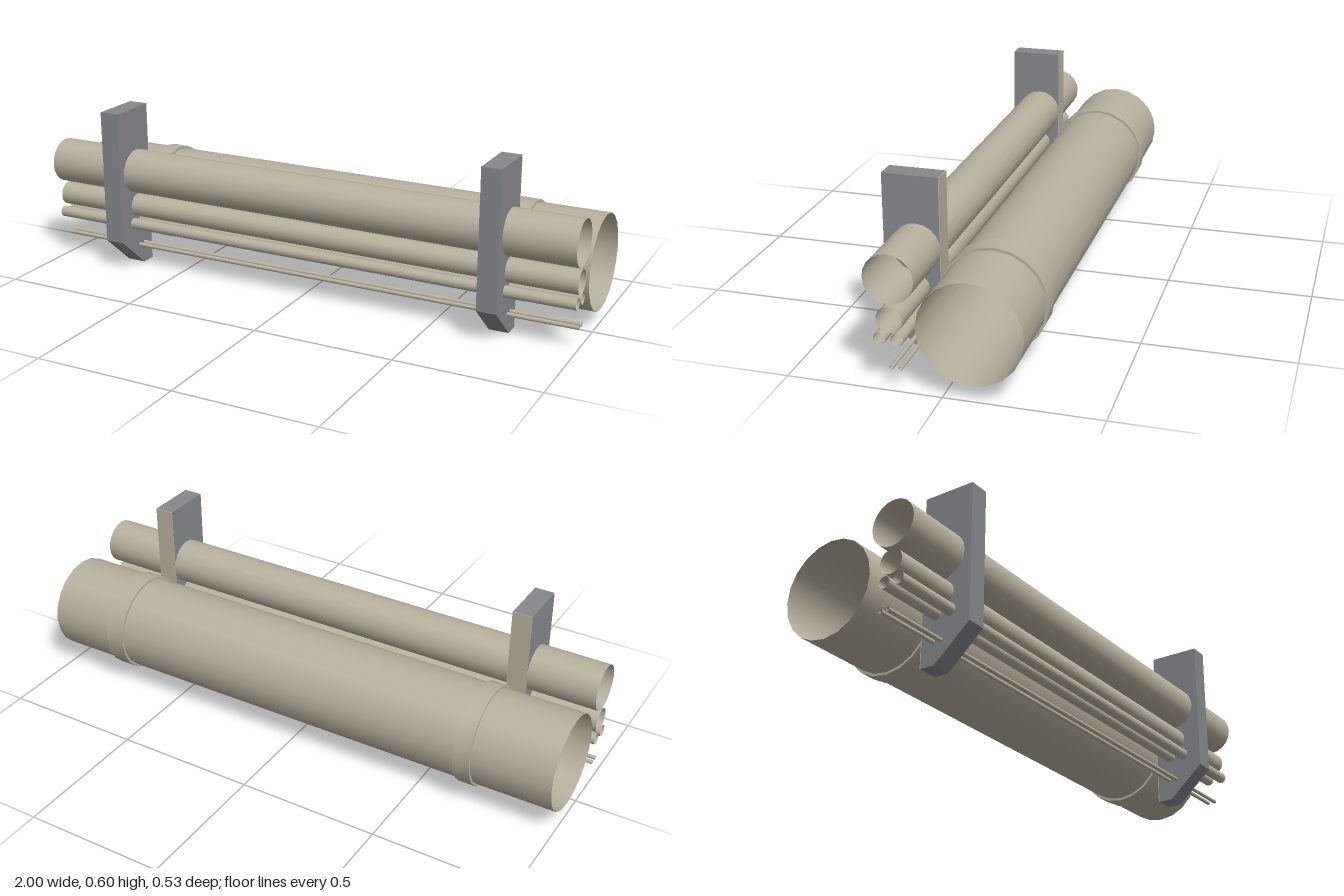
import * as THREE from 'three';
import { toCreasedNormals } from 'three/addons/utils/BufferGeometryUtils.js';

export function createModel() {
  const model = new THREE.Group();
  model.name = 'pipeRack';

  const pipeMat = new THREE.MeshStandardMaterial({ color: 0xb8b09e, side: THREE.DoubleSide });
  pipeMat.name = 'beigePipe';
  const bracketMat = new THREE.MeshStandardMaterial({ color: 0x86878c });
  bracketMat.name = 'greyBracket';

  const add = (name, geometry, material) => {
    const mesh = new THREE.Mesh(geometry, material);
    mesh.name = name;
    model.add(mesh);
    return mesh;
  };

  // Open-ended pipes running the full length: name, radius, y, z
  const pipes = [
    ['mainPipe', 0.167, 0.217, -0.087],
    ['upperPipe', 0.08, 0.365, 0.16],
    ['middlePipe', 0.042, 0.234, 0.16],
    ['smallPipeBack', 0.02, 0.17, 0.138],
    ['smallPipeFront', 0.02, 0.17, 0.192],
    ['rodBack', 0.007, 0.077, 0.13],
    ['rodFront', 0.007, 0.077, 0.158],
  ];
  for (const [name, r, y, z] of pipes) {
    const g = new THREE.CylinderGeometry(r, r, 2, 20, 1, true).rotateZ(-Math.PI / 2);
    add(name, g, pipeMat).position.set(0, y, z);
  }

  // Raised collars around the main pipe
  for (const [name, x0, x1] of [['collarRight', -0.717, -0.657], ['collarLeft', 0.686, 0.757]]) {
    const profile = [[0.167, x0], [0.176, x0], [0.176, x1], [0.167, x1]]
      .map(([r, x]) => new THREE.Vector2(r, x));
    const g = toCreasedNormals(new THREE.LatheGeometry(profile, 20), 0.6);
    g.rotateZ(-Math.PI / 2);
    add(name, g, pipeMat).position.set(0, 0.217, -0.087);
  }

  // Upright brackets with a chamfered lower front, and a beige plate on the back
  const width = 0.07, back = 0.08;
  const outline = new THREE.Shape([[back + 0.003, 0], [0.135, 0], [0.265, 0.115], [0.265, 0.6], [back + 0.003, 0.6]]
    .map(([z, y]) => new THREE.Vector2(-z, y)));
  const bracketGeo = new THREE.ExtrudeGeometry(outline, { depth: width, bevelEnabled: false })
    .translate(0, 0, -width / 2)
    .rotateY(Math.PI / 2);
  const plateGeo = new THREE.BoxGeometry(width, 0.6, 0.003);
  for (const [side, x] of [['Right', -0.72], ['Left', 0.722]]) {
    add('bracket' + side, bracketGeo, bracketMat).position.x = x;
    add('bracketBackPlate' + side, plateGeo, pipeMat).position.set(x, 0.3, back + 0.0015);
  }

  return model;
}
